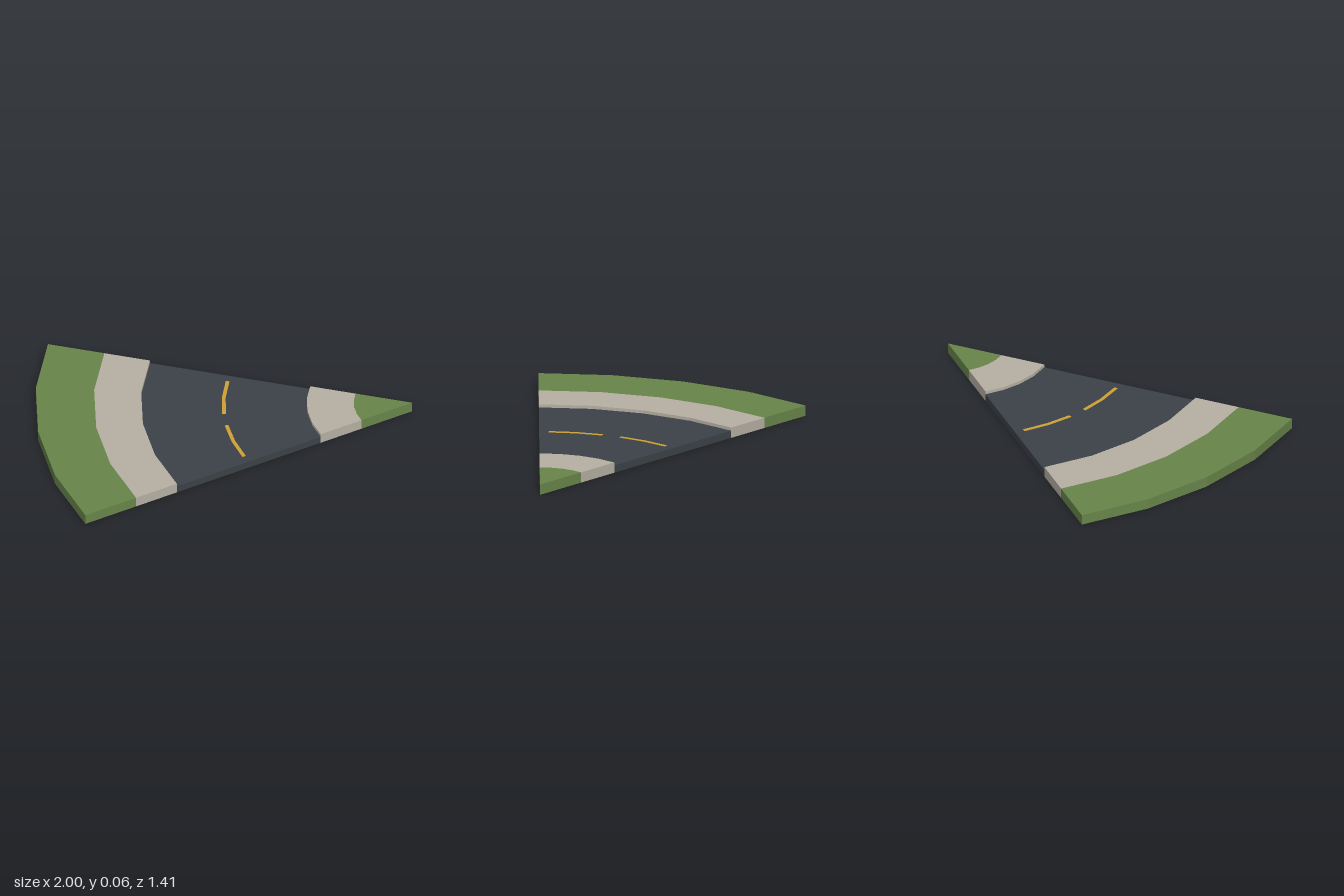
import * as THREE from 'three';

const SWEEP = Math.PI / 4;
const APEX_X = 1, APEX_Z = -Math.SQRT1_2;
const KERB = 0.057, ROAD = 0.04;

const material = (name, color) => {
  const m = new THREE.MeshStandardMaterial({ color, side: THREE.DoubleSide, flatShading: true });
  m.name = name;
  return m;
};

// Point at radius r and angle a around the apex of the curve
const point = (r, a, y) => [APEX_X - r * Math.cos(a), y, APEX_Z + r * Math.sin(a)];

// Open-bottomed ring sector: top, plus optional end walls and inner / outer arc walls
function sector({ r0, r1, top, a0 = 0, a1 = SWEEP, segments = 4, base = 0, ends = true, inner = false, outer = false }) {
  const pos = [];
  const quad = (a, b, c, d) => pos.push(...a, ...b, ...c, ...a, ...c, ...d);
  for (let i = 0; i < segments; i++) {
    const p = a0 + (a1 - a0) * i / segments;
    const q = a0 + (a1 - a0) * (i + 1) / segments;
    if (r0 > 0) quad(point(r0, p, top), point(r1, p, top), point(r1, q, top), point(r0, q, top));
    else pos.push(...point(0, p, top), ...point(r1, p, top), ...point(r1, q, top));
    if (outer) quad(point(r1, p, base), point(r1, q, base), point(r1, q, top), point(r1, p, top));
    if (inner) quad(point(r0, q, base), point(r0, p, base), point(r0, p, top), point(r0, q, top));
  }
  if (ends) {
    quad(point(r0, a0, base), point(r1, a0, base), point(r1, a0, top), point(r0, a0, top));
    quad(point(r1, a1, base), point(r0, a1, base), point(r0, a1, top), point(r1, a1, top));
  }
  const geo = new THREE.BufferGeometry();
  geo.setAttribute('position', new THREE.Float32BufferAttribute(pos, 3));
  geo.computeVertexNormals();
  return geo;
}

export function createModel() {
  const group = new THREE.Group();
  group.name = 'curvedRoadTile';
  const grass = material('grass green', 0x69854a);
  const paving = material('paving grey', 0xb7b1a4);
  const asphalt = material('asphalt', 0x3c4248);
  const paint = material('yellow paint', 0xcfa234);

  const add = (name, mat, options) => {
    const mesh = new THREE.Mesh(sector(options), mat);
    mesh.name = name;
    group.add(mesh);
  };

  // Concentric bands, from the inside of the bend outwards
  add('innerVerge', grass, { r0: 0, r1: 0.31, top: KERB });
  add('innerPavement', paving, { r0: 0.31, r1: 0.56, top: KERB, outer: true });
  add('road', asphalt, { r0: 0.56, r1: 1.44, top: ROAD });
  add('outerPavement', paving, { r0: 1.44, r1: 1.69, top: KERB, inner: true });
  add('outerVerge', grass, { r0: 1.69, r1: 2, top: KERB, outer: true });

  // Dashed centre line
  for (const [i, start] of [2.9, 25.4].entries()) {
    add(`centreDash${i + 1}`, paint, {
      r0: 0.991, r1: 1.011, top: ROAD + 0.002, base: ROAD, segments: 2,
      a0: THREE.MathUtils.degToRad(start), a1: THREE.MathUtils.degToRad(start + 16.7),
      inner: true, outer: true,
    });
  }
  return group;
}
